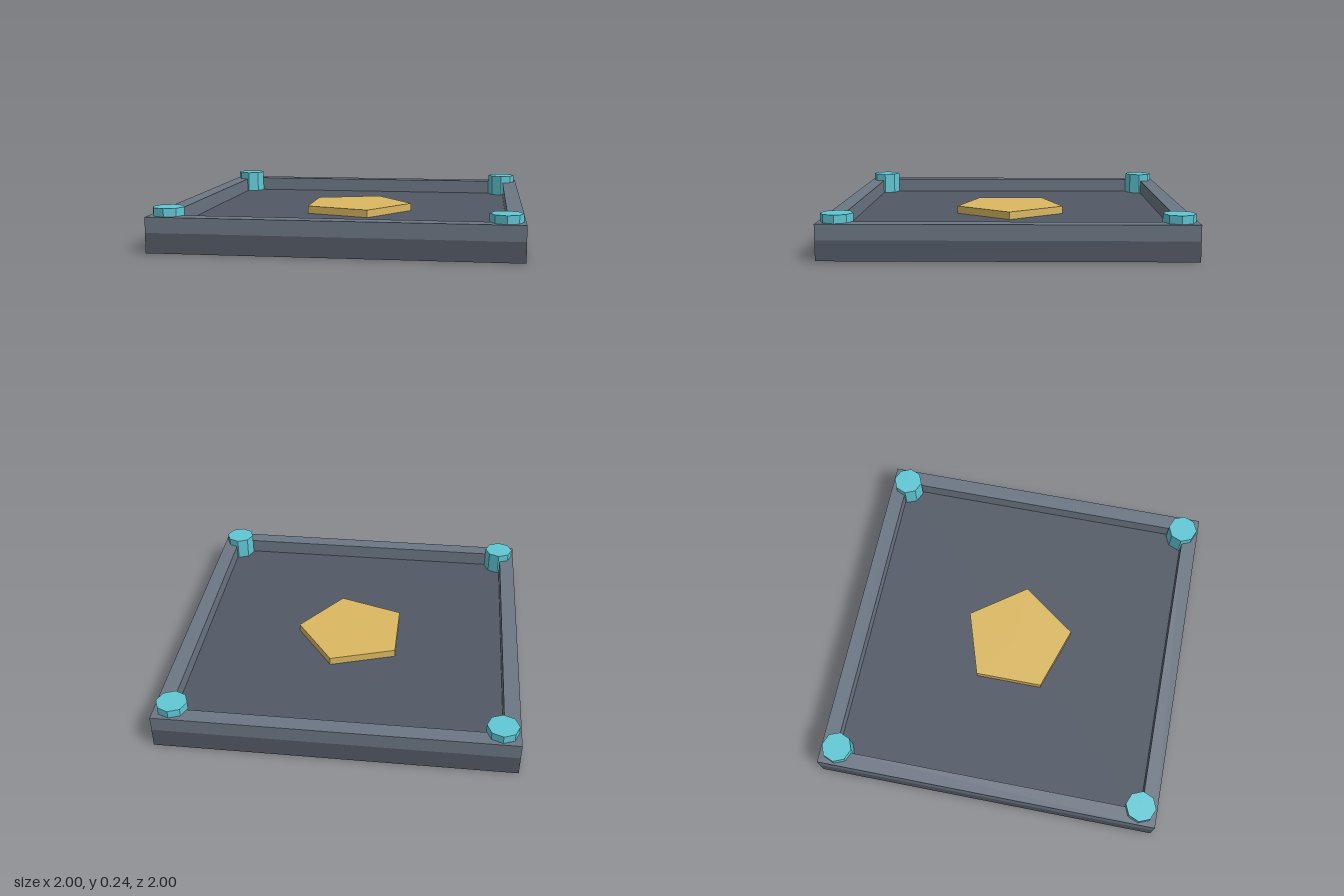
import * as THREE from 'three';

const FLOOR = 0.11, RIM_TOP = 0.195, POST_TOP = 0.24, INNER = 0.91;

function part(name, geometry, color) {
  const material = new THREE.MeshStandardMaterial({ color, flatShading: true });
  const mesh = new THREE.Mesh(geometry, material);
  mesh.name = name;
  return mesh;
}

function square(path, h) {
  path.moveTo(-h, -h);
  path.lineTo(h, -h);
  path.lineTo(h, h);
  path.lineTo(-h, h);
  path.closePath();
  return path;
}

export function createModel() {
  const group = new THREE.Group();
  group.name = 'arenaPlatform';

  // Floor slab
  const slab = part('floorSlab', new THREE.BoxGeometry(2, FLOOR, 2), 0x525965);
  slab.position.y = FLOOR / 2;
  group.add(slab);

  // Raised border around the slab
  const frame = square(new THREE.Shape(), 1);
  frame.holes.push(square(new THREE.Path(), INNER));
  const rimGeometry = new THREE.ExtrudeGeometry(frame, { depth: RIM_TOP - FLOOR, bevelEnabled: false });
  rimGeometry.rotateX(-Math.PI / 2);
  const rim = part('rim', rimGeometry, 0x6c7784);
  rim.position.y = FLOOR;
  group.add(rim);

  // Octagonal corner posts, standing on the floor
  const postHeight = POST_TOP - FLOOR;
  const postGeometry = new THREE.CylinderGeometry(0.088, 0.088, postHeight, 8);
  for (const x of [-0.9, 0.9]) {
    for (const z of [-0.9, 0.9]) {
      const post = part('cornerPost', postGeometry, 0x60c8d5);
      post.position.set(x, FLOOR + postHeight / 2, z);
      group.add(post);
    }
  }

  // Pentagonal centre plate, one corner pointing to +x
  const plateHeight = 0.045;
  const plate = part('centrePlate', new THREE.CylinderGeometry(0.337, 0.337, plateHeight, 5), 0xdbb962);
  plate.rotation.y = Math.PI / 2;
  plate.position.y = FLOOR + plateHeight / 2;
  group.add(plate);

  return group;
}
